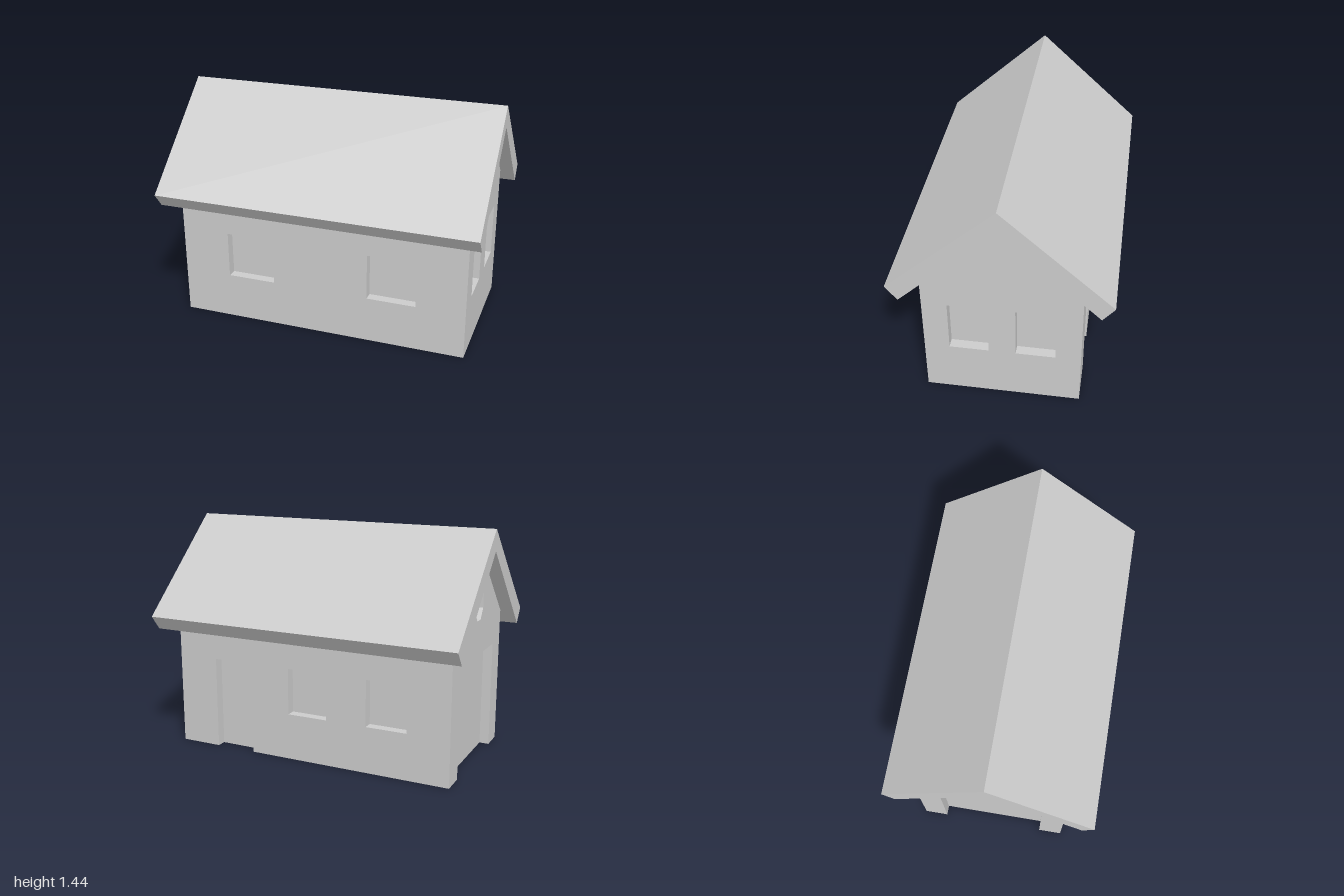
import * as THREE from 'three';

const WALL_X = 0.915, WALL_Z = 0.465, EAVE = 0.865, PEAK = 1.31, DEPTH = 0.06;

const material = new THREE.MeshStandardMaterial({ color: 0xcccccc, flatShading: true, side: THREE.DoubleSide });
const toShape = (pts) => new THREE.Shape(pts.map(([x, y]) => new THREE.Vector2(x, y)));

// Counter-clockwise rectangle
const rect = (x0, x1, y0, y1) => [[x0, y0], [x1, y0], [x1, y1], [x0, y1]];

function addMesh(group, name, geometry) {
  const mesh = new THREE.Mesh(geometry, material);
  mesh.name = name;
  group.add(mesh);
  return mesh;
}

// Inward reveals around an opening; edges lying on the ground stay open
function revealGeometry(pts) {
  const pos = [];
  pts.forEach(([ax, ay], i) => {
    const [bx, by] = pts[(i + 1) % pts.length];
    if (ay === 0 && by === 0) return;
    pos.push(ax, ay, 0, bx, by, 0, bx, by, -DEPTH, ax, ay, 0, bx, by, -DEPTH, ax, ay, -DEPTH);
  });
  const geometry = new THREE.BufferGeometry();
  geometry.setAttribute('position', new THREE.Float32BufferAttribute(pos, 3));
  geometry.computeVertexNormals();
  return geometry;
}

// Thin wall facing local +z, with recessed windows and at most one door
function makeWall(name, halfWidth, gable, windows, door) {
  const wall = new THREE.Group();
  wall.name = name;
  const outline = [[-halfWidth, 0]];
  if (door) {
    const [a, b, c, d] = door;
    outline.push(a, d, c, b);
  }
  outline.push([halfWidth, 0], [halfWidth, EAVE]);
  if (gable) outline.push([0, PEAK]);
  outline.push([-halfWidth, EAVE]);

  const shape = toShape(outline);
  windows.forEach((pts) => shape.holes.push(toShape(pts)));
  addMesh(wall, name + 'Surface', new THREE.ShapeGeometry(shape));

  const recess = (kind, pts) => {
    addMesh(wall, kind + 'Reveal', revealGeometry(pts));
    addMesh(wall, kind + 'Pane', new THREE.ShapeGeometry(toShape(pts))).position.z = -DEPTH;
  };
  windows.forEach((pts) => recess('window', pts));
  if (door) recess('door', door);
  return wall;
}

export function createModel() {
  const house = new THREE.Group();
  house.name = 'house';

  // Long front wall with two windows
  const front = makeWall('frontWall', WALL_X, false,
    [rect(-0.61, -0.305, 0.29, 0.58), rect(0.305, 0.61, 0.29, 0.58)]);
  front.position.z = WALL_Z;

  // Long back wall with a door and two windows
  const back = makeWall('backWall', WALL_X, false,
    [rect(-0.13, 0.13, 0.29, 0.58), rect(0.39, 0.65, 0.29, 0.58)], rect(-0.65, -0.39, 0, 0.58));
  back.position.z = -WALL_Z;
  back.rotation.y = Math.PI;

  // Gable wall with two tall windows
  const windowGable = makeWall('windowGableWall', WALL_Z, true,
    [rect(-0.315, -0.08, 0.34, 0.675), rect(0.08, 0.315, 0.34, 0.675)]);
  windowGable.position.x = WALL_X;
  windowGable.rotation.y = Math.PI / 2;

  // Gable wall with a wide garage door and an eight-sided attic window
  const attic = [];
  for (let i = 0; i < 8; i++) {
    const a = (i + 0.5) * Math.PI / 4;
    attic.push([0.084 * Math.cos(a), 1.0 + 0.119 * Math.sin(a)]);
  }
  const garageGable = makeWall('garageGableWall', WALL_Z, true, [attic], rect(-0.32, 0.32, 0, 0.675));
  garageGable.position.x = -WALL_X;
  garageGable.rotation.y = -Math.PI / 2;

  house.add(front, back, windowGable, garageGable);

  // Thick gabled roof running the full length
  const profile = [[0.64, 0.855], [0, 1.44], [-0.64, 0.855], [-0.57, 0.765], [0, PEAK], [0.57, 0.765]];
  const roof = new THREE.ExtrudeGeometry(toShape(profile), { depth: 2, bevelEnabled: false });
  roof.translate(0, 0, -1);
  roof.rotateY(Math.PI / 2);
  addMesh(house, 'roof', roof);

  return house;
}
